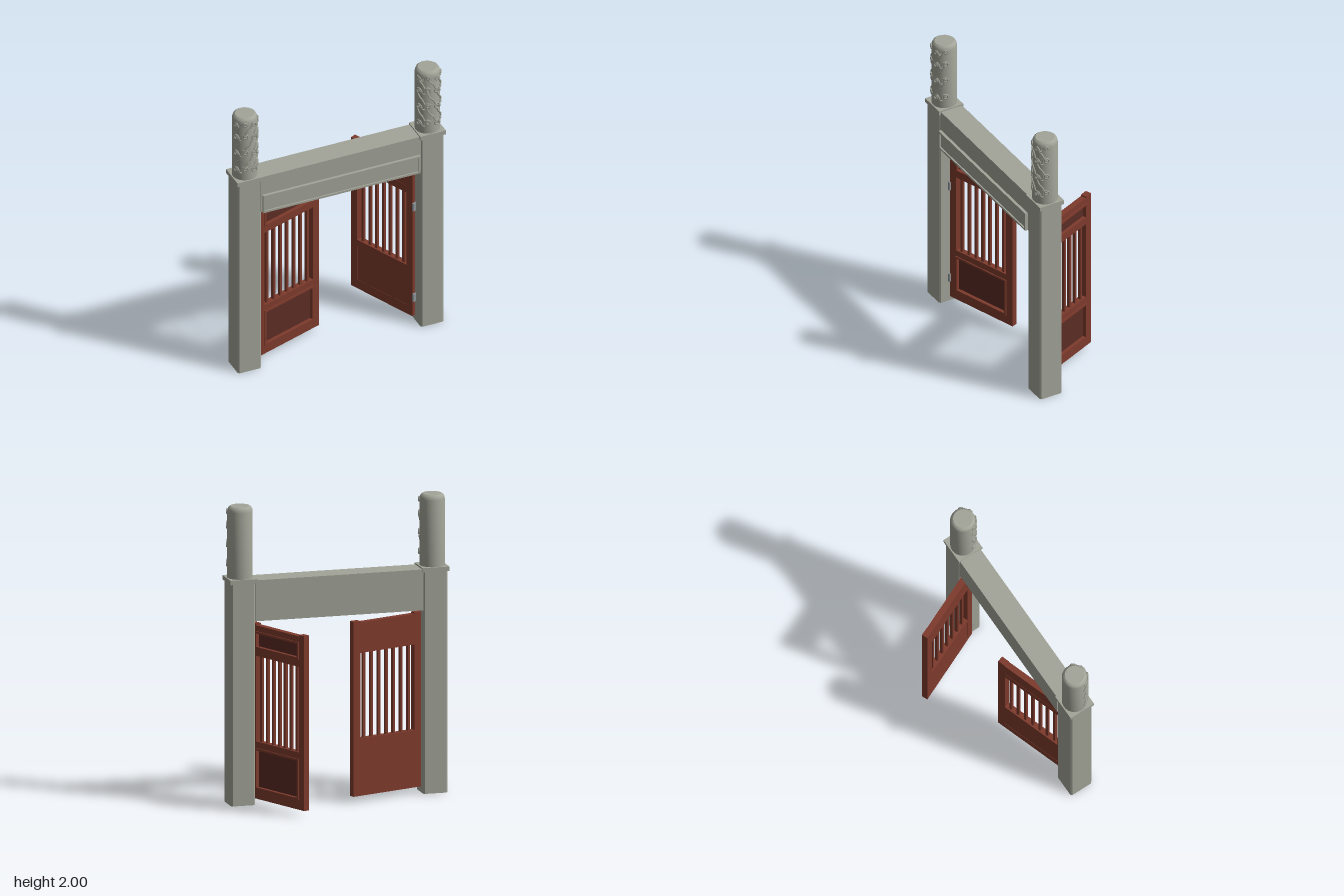
import * as THREE from 'three';
import { toCreasedNormals } from 'three/addons/utils/BufferGeometryUtils.js';

const stone = new THREE.MeshStandardMaterial({ color: 0xa3a599 });
stone.name = 'stone';
const wood = new THREE.MeshStandardMaterial({ color: 0x7d3a2c });
wood.name = 'red wood';
const darkWood = new THREE.MeshStandardMaterial({ color: 0x5b2c24 });
darkWood.name = 'dark wood';
const metal = new THREE.MeshStandardMaterial({ color: 0x8c9294 });
metal.name = 'hinge metal';

const POST_X = 0.657, POST_Z = 0.208, COL_R = 0.084;

function add(parent, name, geometry, material) {
  const mesh = new THREE.Mesh(geometry, material);
  mesh.name = name;
  parent.add(mesh);
  return mesh;
}

// Box given by its limits on each axis
function block(parent, name, material, [x0, x1], [y0, y1], [z0, z1]) {
  const mesh = add(parent, name, new THREE.BoxGeometry(x1 - x0, y1 - y0, z1 - z0), material);
  mesh.position.set((x0 + x1) / 2, (y0 + y1) / 2, (z0 + z1) / 2);
  return mesh;
}

function rect(x0, x1, y0, y1, Type = THREE.Shape) {
  const s = new Type();
  s.moveTo(x0, y0);
  s.lineTo(x1, y0);
  s.lineTo(x1, y1);
  s.lineTo(x0, y1);
  s.closePath();
  return s;
}

// Rectangular border of width w, from z0 to z1
function frame(parent, name, material, [x0, x1], [y0, y1], [z0, z1], w) {
  const shape = rect(x0, x1, y0, y1);
  shape.holes.push(rect(x0 + w, x1 - w, y0 + w, y1 - w, THREE.Path));
  const geo = new THREE.ExtrudeGeometry(shape, { depth: z1 - z0, bevelEnabled: false });
  geo.translate(0, 0, z0);
  return add(parent, name, geo, material);
}

// Tube wrapped on the column; points are [angle from the front, height]
function wrappedTube(parent, name, points, radius) {
  const path = new THREE.CatmullRomCurve3(points.map(([a, y]) =>
    new THREE.Vector3(Math.sin(a) * (COL_R + 0.002), y, Math.cos(a) * (COL_R + 0.002))));
  add(parent, name, new THREE.TubeGeometry(path, points.length * 3, radius, 6), stone);
}

// Spiral scroll with a curling tail
function scroll(parent, a0, y0, size, hand) {
  const pts = [];
  for (let i = 0; i <= 14; i++) {
    const t = i / 14, turn = t * Math.PI * 3, r = size * (0.2 + 0.8 * t);
    pts.push([a0 + hand * Math.cos(turn) * r / COL_R, y0 + Math.sin(turn) * r]);
  }
  pts.push([a0 - hand * size * 1.3 / COL_R, y0 - size * 0.7]);
  pts.push([a0 - hand * size * 2 / COL_R, y0 - size * 0.9]);
  wrappedTube(parent, 'cloudScroll', pts, 0.006);
}

// Square post, cap and carved round column; hand is the side, +1 or -1
function buildPost(hand) {
  const post = new THREE.Group();
  post.name = hand > 0 ? 'leftPost' : 'rightPost';
  post.position.set(hand * POST_X, 0, POST_Z);

  // Shaft with chamfered corners
  const h = 0.083, c = 0.073;
  const section = new THREE.Shape([[h, -c], [h, c], [c, h], [-c, h], [-h, c], [-h, -c], [-c, -h], [c, -h]]
    .map(([x, y]) => new THREE.Vector2(x, y)));
  const shaft = new THREE.ExtrudeGeometry(section, { depth: 1.49, bevelEnabled: false });
  shaft.rotateX(-Math.PI / 2);
  add(post, 'shaft', shaft, stone);
  block(post, 'cap', stone, [-0.092, 0.092], [1.49, 1.52], [-0.092, 0.092]);

  const profile = [[COL_R, 1.52], [COL_R, 1.965], [COL_R - 0.003, 1.98], [COL_R - 0.009, 1.992], [COL_R - 0.02, 2], [0, 2]]
    .map(([x, y]) => new THREE.Vector2(x, y));
  add(post, 'column', toCreasedNormals(new THREE.LatheGeometry(profile, 40), 0.6), stone);

  // Relief on the front of the column
  const relief = new THREE.Group();
  relief.name = 'columnRelief';
  post.add(relief);
  [1.6, 1.73, 1.855, 1.95].forEach((y, row) => {
    const size = row === 3 ? 0.017 : 0.022;
    [-1.15, -0.38, 0.38, 1.15].forEach((a, i) =>
      scroll(relief, a, y + (i % 2 ? 0.008 : -0.004), size, i % 2 ? 1 : -1));
    if (row === 3) return;
    // Slanting ribbons that join the rows
    [-0.95, -0.1, 0.7].forEach(a => wrappedTube(relief, 'ribbon',
      [0, 0.33, 0.67, 1].map(t => [a - hand * (t - 0.5) * 0.7, y + 0.015 + t * 0.1 + Math.sin(t * 6.28) * 0.008]), 0.006));
  });
  return post;
}

// Door leaf running along +x from its hinge edge, moulded on +z
function buildDoor(name) {
  const door = new THREE.Group();
  door.name = name;
  const W = 0.545, S = 0.055, Z = [-0.021, 0.021], inner = [S, W - S];

  block(door, 'hingeStile', wood, [0, S], [0.04, 1.215], Z);
  block(door, 'freeStile', wood, [W - S, W], [0.04, 1.215], Z);
  [[0.04, 0.11], [0.375, 0.425], [1, 1.055], [1.16, 1.205]].forEach(y =>
    block(door, 'rail', wood, inner, y, Z));

  // Panels: recessed and dark in front, almost flush behind
  [[0.11, 0.375], [1.055, 1.16]].forEach(([y0, y1]) => {
    block(door, 'panelBack', wood, inner, [y0, y1], [-0.019, -0.002]);
    block(door, 'panelFace', darkWood, inner, [y0, y1], [-0.002, 0.004]);
    frame(door, 'panelMoulding', wood, [S - 0.002, W - S + 0.002], [y0 - 0.006, y1 + 0.006], [0.004, 0.029], 0.014);
  });

  // Upright bars in the opening
  for (let i = 0; i < 7; i++) {
    const x = W / 2 + (i - 3) * 0.06;
    block(door, 'bar', wood, [x - 0.009, x + 0.009], [0.42, 1.005], [-0.01, 0.01]);
  }

  // Hinges
  [0.19, 0.91].forEach(y => {
    const pin = add(door, 'hinge', new THREE.CylinderGeometry(0.009, 0.009, 0.062, 12), metal);
    pin.position.set(0, y, 0.024);
    block(door, 'hingePlate', metal, [-0.012, 0.002], [y - 0.03, y + 0.03], [-0.024, 0.024]);
  });
  return door;
}

export function createModel() {
  const model = new THREE.Group();
  model.name = 'gate';
  model.add(buildPost(1), buildPost(-1));

  // Lintel with a framed panel along its lower front
  block(model, 'lintel', stone, [-0.575, 0.575], [1.235, 1.51], [0.125, 0.285]);
  block(model, 'lintelPanel', stone, [-0.555, 0.555], [1.245, 1.36], [0.285, 0.295]);
  frame(model, 'lintelPanelFrame', stone, [-0.565, 0.565], [1.235, 1.37], [0.285, 0.305], 0.014);

  // The two leaves stand open by different amounts
  const rightDoor = buildDoor('rightDoor');
  rightDoor.position.set(-0.57, 0, 0.2);
  rightDoor.rotation.y = THREE.MathUtils.degToRad(18.7);
  const leftDoor = buildDoor('leftDoor');
  leftDoor.position.set(0.57, 0, 0.2);
  leftDoor.rotation.y = THREE.MathUtils.degToRad(113.7);
  model.add(rightDoor, leftDoor);
  return model;
}
